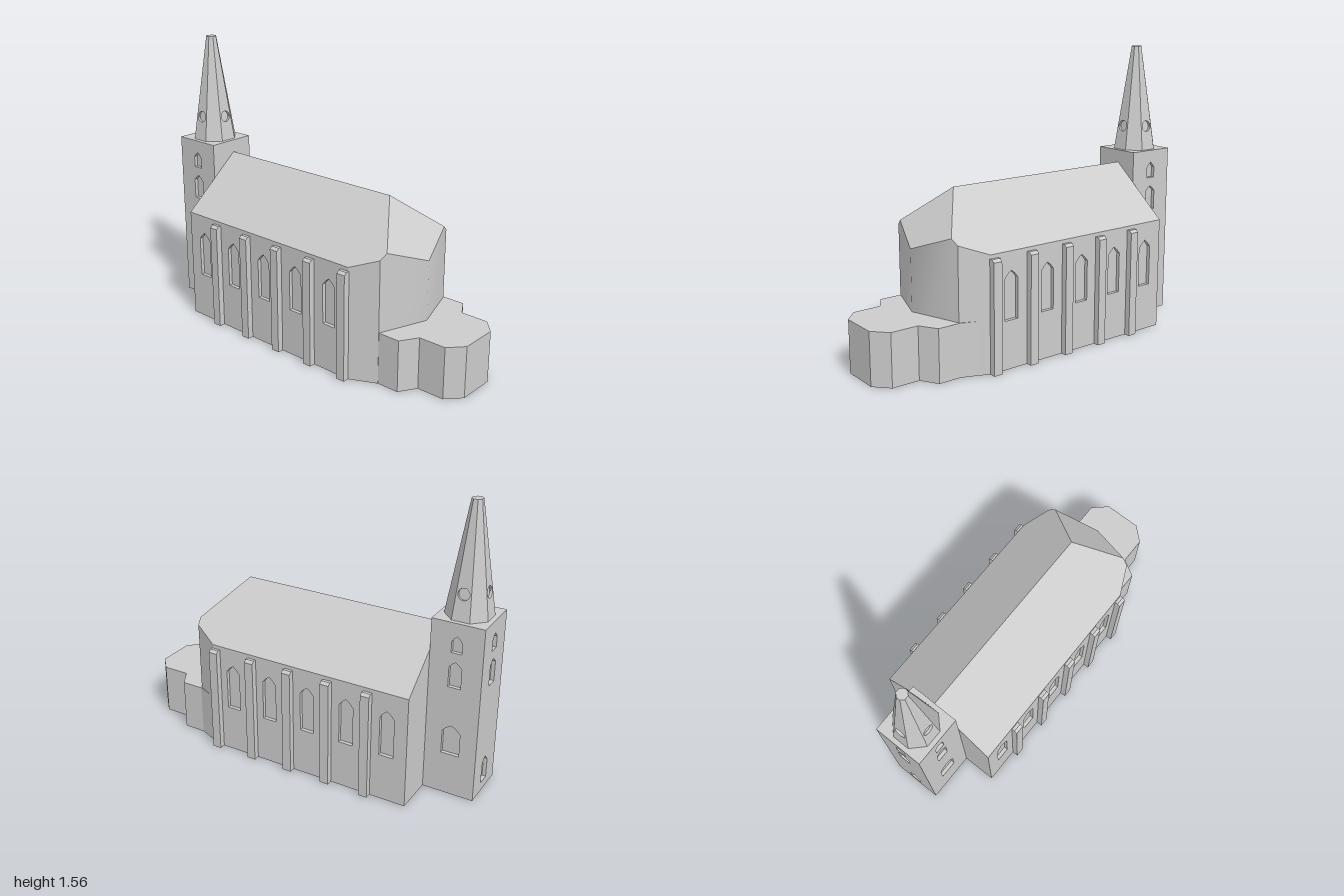
import * as THREE from 'three';
import { toCreasedNormals } from 'three/addons/utils/BufferGeometryUtils.js';

const D = 0.02; // depth of window recesses

export function createModel() {
  const model = new THREE.Group();
  model.name = 'church';
  const stone = new THREE.MeshStandardMaterial({ color: 0xcccccc });
  stone.name = 'pale stone';

  const add = (name, geometry, parent = model) => {
    const mesh = new THREE.Mesh(geometry, stone);
    mesh.name = name;
    parent.add(mesh);
    return mesh;
  };
  const group = (name) => {
    const g = new THREE.Group();
    g.name = name;
    model.add(g);
    return g;
  };
  const polygon = (pts) => new THREE.Shape(pts.map(([x, y]) => new THREE.Vector2(x, y)));
  const box = (x0, x1, y0, y1, z0, z1) =>
    new THREE.BoxGeometry(x1 - x0, y1 - y0, z1 - z0)
      .translate((x0 + x1) / 2, (y0 + y1) / 2, (z0 + z1) / 2);
  const extrude = (shape, depth) =>
    new THREE.ExtrudeGeometry(shape, { depth, bevelEnabled: false, curveSegments: 10 });

  // Pointed opening: centre x, width, sill, springing and apex heights
  const arch = (x, w, sill, spring, apex) => {
    const h = w / 2, mid = spring + (apex - spring) * 0.6;
    return polygon([[x - h, sill], [x + h, sill], [x + h, spring],
      [x + h * 0.5, mid], [x, apex], [x - h * 0.5, mid], [x - h, spring]]);
  };
  // Wall slab whose outer face lies at local z = 0
  const wallPanel = (x0, x1, height, openings) => {
    const shape = polygon([[x0, 0], [x1, 0], [x1, height], [x0, height]]);
    shape.holes.push(...openings);
    return extrude(shape, D).translate(0, 0, -D);
  };
  // Flat-faced geometry from convex polygons
  const facets = (faces) => {
    const pos = [];
    for (const f of faces)
      for (let i = 1; i < f.length - 1; i++) pos.push(...f[0], ...f[i], ...f[i + 1]);
    const g = new THREE.BufferGeometry();
    g.setAttribute('position', new THREE.Float32BufferAttribute(pos, 3));
    g.computeVertexNormals();
    return g;
  };

  // Nave: side walls with five recessed windows each
  const W = 0.345, west = -0.72, east = 0.45;
  const roofY = (x, z) => Math.min(0.9 - 0.81 * Math.abs(z), 0.9 - 1.096 * (x - 0.43));
  const eave = roofY(0, W);
  const nave = group('nave');
  add('naveCore', box(west + 0.005, east, 0, eave - 0.01, -W + D, W - D), nave);
  for (const side of [1, -1]) {
    const windows = [0, 1, 2, 3, 4].map((i) =>
      arch(side * (-0.607 + i * 0.2325), 0.08, 0.26, 0.48, 0.52));
    const x0 = side > 0 ? west : -east, x1 = side > 0 ? east : -west;
    const wall = add('naveWall', wallPanel(x0, x1, eave, windows), nave);
    wall.position.z = side * W;
    wall.rotation.y = side > 0 ? 0 : Math.PI;

    // Buttresses with a chamfered top
    for (let i = 0; i < 5; i++) {
      const profile = polygon([[0.335, 0], [0.378, 0], [0.378, 0.587], [0.362, 0.6], [0.335, 0.6]]);
      const b = add('buttress', extrude(profile, 0.05).translate(0, 0, -0.025), nave);
      b.position.x = -0.495 + i * 0.231;
      b.rotation.y = -side * Math.PI / 2;
    }
  }
  const gable = polygon([[-W, 0], [W, 0], [W, eave], [0, 0.9], [-W, eave]]);
  add('westGable', new THREE.ShapeGeometry(gable).rotateY(-Math.PI / 2).translate(west, 0, 0), nave);

  // Chancel walls, cut off by the roof planes
  const plan = [[east, W], [0.595, 0.277], [0.607, 0.24], [0.69, 0.005],
    [0.607, -0.24], [0.595, -0.277], [east, -W]];
  const strips = [];
  for (let i = 0; i < plan.length - 1; i++) {
    const [ax, az] = plan[i], [bx, bz] = plan[i + 1];
    strips.push([[ax, 0, az], [bx, 0, bz], [bx, roofY(bx, bz), bz], [ax, roofY(ax, az), az]]);
  }
  add('chancelWall', toCreasedNormals(facets(strips), 0.73));

  // Roof: two long slopes and a hipped east end
  const at = (x, z) => [x, roofY(x, z), z];
  const slope = (s) => [at(west, 0), at(west, s * W), at(east, s * W),
    at(0.595, s * 0.277), at(0.607, s * 0.24), at(0.43, 0)];
  const hip = [at(0.43, 0), at(0.607, 0.24), at(0.69, 0.005), at(0.607, -0.24)];
  add('roof', facets([slope(1), slope(-1).reverse(), hip]));

  // Low apse with a flat roof
  const half = [[0.455, 0.335], [0.595, 0.28], [0.718, 0.28], [0.775, 0.185], [0.927, 0.185], [1, 0.105]];
  const outline = [...half, ...half.map(([x, z]) => [x, -z]).reverse()];
  add('apse', extrude(polygon(outline), 0.285).rotateX(-Math.PI / 2).translate(0, 0, -0.004));

  // Tower: four slabs with openings around a solid core
  const tower = group('tower');
  tower.position.set(-0.86, 0, 0.014);
  const T = 0.14, H = 0.97;
  add('towerCore', box(-T + D, T - D, 0, H, -T + D, T - D), tower);
  for (let i = 0; i < 4; i++) {
    const openings = [];
    if (i !== 1) openings.push(arch(0, 0.068, 0.62, 0.73, 0.76), arch(0, 0.056, 0.81, 0.87, 0.9));
    if (i % 2 === 0) openings.push(arch(0, 0.098, 0.235, 0.365, 0.403));
    if (i === 3) openings.push(arch(0, 0.07, 0.05, 0.16, 0.195));
    const w = i % 2 === 0 ? T : T - D;
    add('towerWall', wallPanel(-w, w, H, openings).translate(0, 0, T).rotateY(i * Math.PI / 2), tower);
  }

  // Spire: eight tapering faces, four of them with a round opening
  const spire = group('spire');
  spire.position.set(-0.86, H, 0.014);
  const a0 = 0.115, a1 = 0.027, rise = 0.59, k = Math.tan(Math.PI / 8);
  const lean = Math.atan((a0 - a1) / rise), len = Math.hypot(rise, a0 - a1);
  for (let i = 0; i < 8; i++) {
    const face = polygon([[-a0 * k, 0], [a0 * k, 0], [a1 * k, len], [-a1 * k, len]]);
    if (i % 2 === 0) face.holes.push(new THREE.Path().absarc(0, 0.137, 0.031, 0, Math.PI * 2, true));
    add('spireFace', extrude(face, 0.015).translate(0, 0, -0.015)
      .rotateX(-lean).translate(0, 0, a0).rotateY(i * Math.PI / 4), spire);
  }
  const c = Math.cos(Math.PI / 8);
  const core = new THREE.CylinderGeometry((a1 - 0.014) / c, (a0 - 0.014) / c, rise - 0.01, 8, 1, false, Math.PI / 8);
  add('spireCore', toCreasedNormals(core.translate(0, rise / 2 - 0.005, 0), 0.3), spire);
  add('spireCap', new THREE.CircleGeometry(a1 / c, 8, Math.PI / 8).rotateX(-Math.PI / 2).translate(0, rise, 0), spire);

  return model;
}
